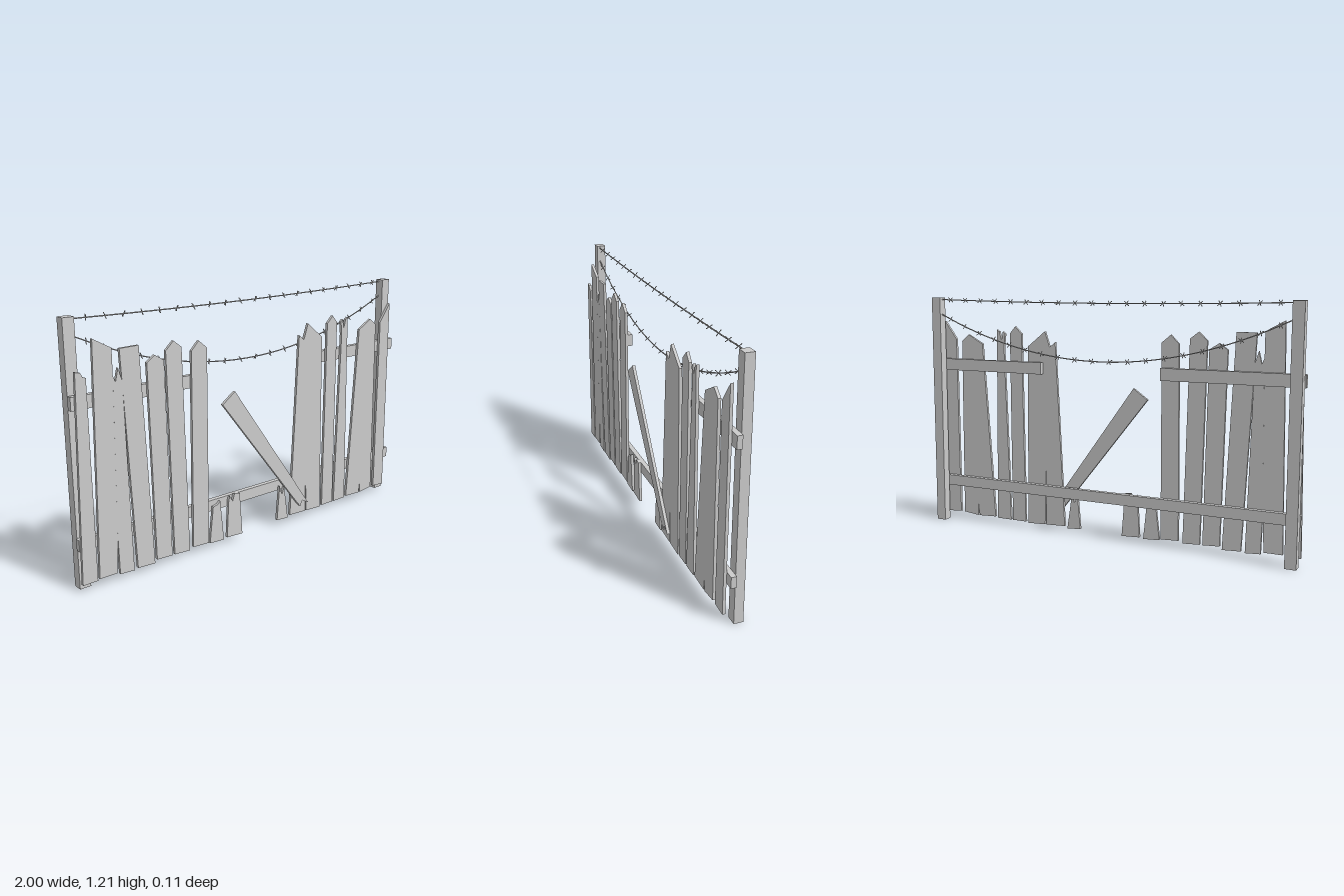
import * as THREE from 'three';

const material = new THREE.MeshStandardMaterial({ color: 0xcccccc, flatShading: true });
const wireMaterial = new THREE.MeshStandardMaterial({ color: 0xcccccc });

function add(parent, name, geometry, mat = material) {
  const mesh = new THREE.Mesh(geometry, mat);
  mesh.name = name;
  parent.add(mesh);
  return mesh;
}

// Flat board cut from an outline, running from depth z0 to z1
function board(parent, name, points, z0, z1) {
  const shape = new THREE.Shape(points.map(([x, y]) => new THREE.Vector2(x, y)));
  const geometry = new THREE.ExtrudeGeometry(shape, { depth: z1 - z0, bevelEnabled: false });
  geometry.translate(0, 0, z0);
  return add(parent, name, geometry);
}

// Box given by its limits, its top shifted by a small lean
function beam(parent, name, [x0, x1], [y0, y1], [z0, z1], leanX = 0, leanZ = 0) {
  const geometry = new THREE.BoxGeometry(x1 - x0, y1 - y0, z1 - z0);
  geometry.translate((x0 + x1) / 2, (y0 + y1) / 2, (z0 + z1) / 2);
  const p = geometry.attributes.position;
  for (let i = 0; i < p.count; i++) {
    const t = (p.getY(i) - y0) / (y1 - y0);
    p.setX(i, p.getX(i) + leanX * t);
    p.setZ(i, p.getZ(i) + leanZ * t);
  }
  geometry.computeVertexNormals();
  return add(parent, name, geometry);
}

// Sagging wire with pairs of crossed barbs
function barbedWire(parent, name, yEnd, ySag, count) {
  const group = new THREE.Group();
  group.name = name;
  parent.add(group);
  const at = (x) => new THREE.Vector3(x, ySag + (yEnd - ySag) * (x / 0.94) ** 2, -0.023);
  const points = [];
  for (let i = 0; i <= 16; i++) points.push(at(-0.945 + (1.885 * i) / 16));
  const curve = new THREE.CatmullRomCurve3(points);
  add(group, 'wire', new THREE.TubeGeometry(curve, 48, 0.003, 6), wireMaterial);
  const barb = new THREE.CylinderGeometry(0.002, 0.002, 0.034, 5);
  for (let i = 0; i < count; i++) {
    const t = (i + 0.7) / (count + 0.4);
    for (const side of [-1, 1]) {
      const mesh = add(group, 'barb', barb, wireMaterial);
      mesh.position.copy(curve.getPointAt(t));
      mesh.rotation.set(side * 0.75, 0, side * 0.3 + 0.35 * Math.sin(i * 2.3));
    }
  }
}

// Plank outlines, anticlockwise from the bottom left
const planks = [
  [[-1, 0.035], [-0.925, 0.035], [-0.93, 0.96], [-0.945, 0.965], [-0.955, 0.985], [-0.98, 0.99]],
  [[-0.915, 0.04], [-0.825, 0.04], [-0.815, 0.225], [-0.802, 0.96], [-0.802, 1.07], [-0.893, 1.12]],
  [[-0.81, 0.03], [-0.735, 0.025], [-0.757, 0.92], [-0.775, 0.98], [-0.79, 0.92], [-0.802, 0.95], [-0.815, 0.225]],
  [[-0.715, 0.03], [-0.622, 0.025], [-0.668, 1.064], [-0.765, 1.062]],
  [[-0.61, 0.04], [-0.524, 0.035], [-0.54, 0.98], [-0.588, 1.01], [-0.63, 0.98]],
  [[-0.51, 0.035], [-0.422, 0.03], [-0.444, 1.027], [-0.487, 1.06], [-0.53, 1.02]],
  [[-0.4, 0.04], [-0.307, 0.035], [-0.302, 1.005], [-0.348, 1.043], [-0.39, 1]],
  [[0.23, 0.035], [0.34, 0.03], [0.337, 0.32], [0.347, 0.03], [0.449, 0.025], [0.438, 0.963], [0.337, 1.043],
    [0.31, 0.963], [0.278, 0.99]],
  [[0.465, 0.03], [0.545, 0.03], [0.545, 1.027], [0.513, 1.064], [0.475, 1.027]],
  [[0.556, 0.03], [0.64, 0.03], [0.624, 1.045], [0.61, 1.035], [0.597, 0.99], [0.588, 1.037], [0.575, 1.025],
    [0.583, 0.96]],
  [[0.655, 0.035], [0.758, 0.03], [0.765, 0.1], [0.768, 0.03], [0.856, 0.04], [0.845, 0.98], [0.802, 1.015],
    [0.717, 0.968]],
  [[0.88, 0.04], [0.957, 0.035], [0.952, 1.085], [0.882, 0.99]],
];

// Short snapped-off plank stubs in the gap
const stubs = [
  [[-0.3, 0.03], [-0.214, 0.025], [-0.235, 0.235], [-0.25, 0.22], [-0.278, 0.215]],
  [[-0.193, 0.03], [-0.096, 0.025], [-0.112, 0.245], [-0.145, 0.25], [-0.157, 0.215], [-0.175, 0.245], [-0.182, 0.22]],
  [[0.139, 0.03], [0.214, 0.025], [0.187, 0.205], [0.172, 0.165], [0.155, 0.215]],
];

export function createModel() {
  const fence = new THREE.Group();
  fence.name = 'brokenFence';

  // Posts, each leaning a little
  beam(fence, 'rightPost', [-0.995, -0.94], [0, 1.21], [-0.042, 0.003], 0, -0.013);
  beam(fence, 'leftPost', [0.938, 0.99], [0, 1.21], [-0.042, 0.003], -0.007, 0);

  // Rails: one full length, two broken above
  beam(fence, 'lowerRail', [-1, 1], [0.19, 0.245], [0.003, 0.028]);
  beam(fence, 'upperRightRail', [-1, -0.305], [0.825, 0.885], [0.003, 0.028]);
  beam(fence, 'upperLeftRail', [0.35, 1], [0.825, 0.885], [0.003, 0.028]);

  // Upright planks and stubs
  for (const outline of planks) board(fence, 'plank', outline, 0.028, 0.042);
  for (const outline of stubs) board(fence, 'plankStub', outline, 0.028, 0.042);

  // Loose plank hanging across the gap
  board(fence, 'fallenPlank', [[-0.225, 0.722], [0.267, 0.1], [0.29, 0.075], [0.305, 0.105], [0.348, 0.08],
    [-0.15, 0.775]], 0.042, 0.057);

  // Barbed wires strung between the posts
  barbedWire(fence, 'upperWire', 1.2, 1.188, 20);
  barbedWire(fence, 'lowerWire', 1.125, 0.905, 20);

  return fence;
}
